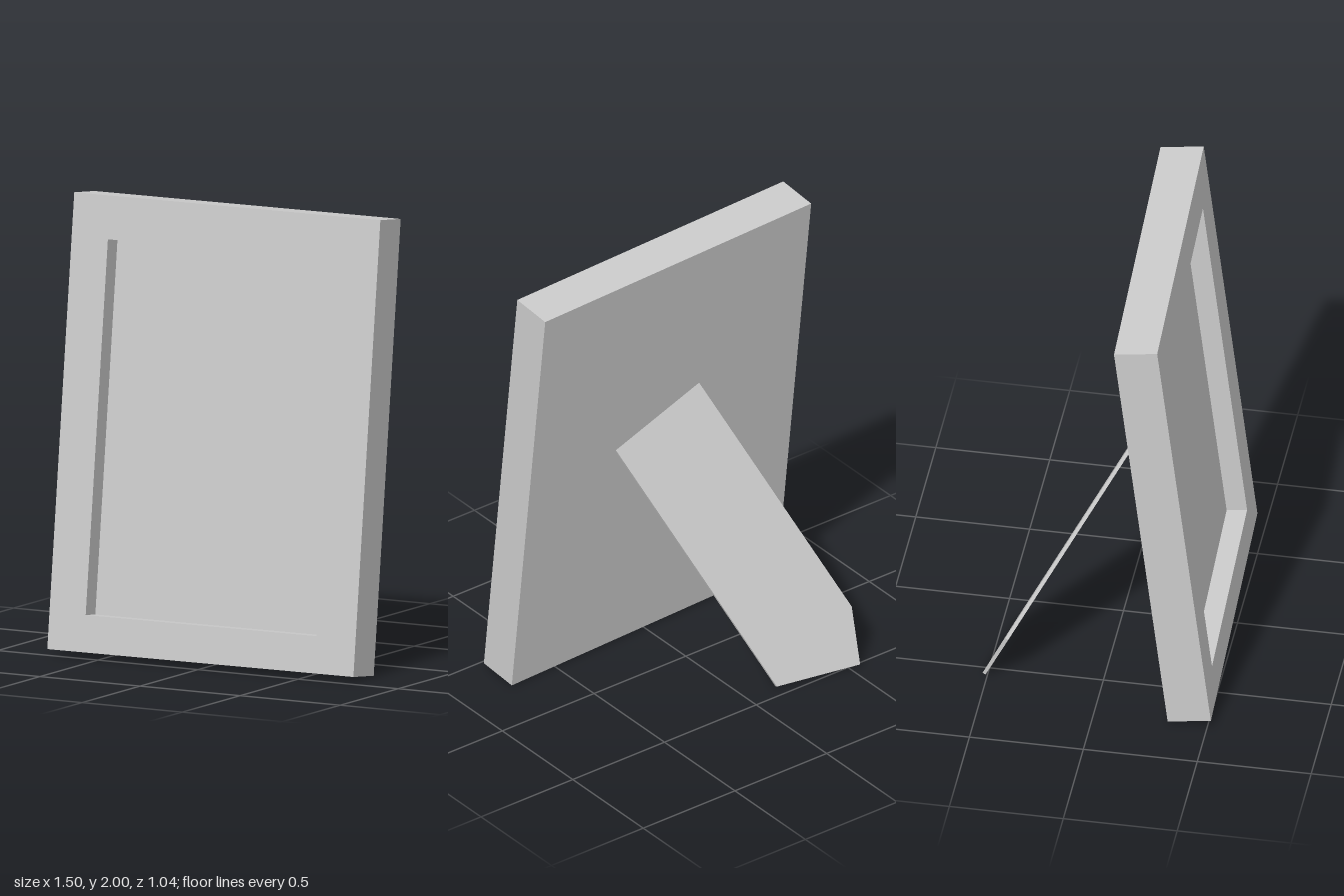
import * as THREE from 'three';

const material = () => new THREE.MeshStandardMaterial({ color: 0xcccccc, flatShading: true });

export function createModel() {
  const model = new THREE.Group();
  model.name = 'pictureFrame';
  const add = (parent, name, geometry) => {
    const mesh = new THREE.Mesh(geometry, material());
    mesh.name = name;
    parent.add(mesh);
    return mesh;
  };

  // Leaning frame: local origin at the centre of its front face
  const W = 1.496, H = 1.982, depth = 0.19, recess = 0.09;
  const frame = new THREE.Group();
  frame.name = 'frame';
  frame.rotation.set(-0.119, 0.04, -0.004, 'YXZ');
  frame.position.set(0.0025, 1.0145, 0.3675);
  model.add(frame);

  // Border with the picture opening
  const rect = (Type, x0, x1, y0, y1) => {
    const p = new Type();
    p.moveTo(x0, y0).lineTo(x1, y0).lineTo(x1, y1).lineTo(x0, y1).closePath();
    return p;
  };
  const outline = rect(THREE.Shape, -W / 2, W / 2, -H / 2, H / 2);
  outline.holes.push(rect(THREE.Path, -0.571, 0.557, -0.829, 0.801));
  const border = new THREE.ExtrudeGeometry(outline, { depth: recess, bevelEnabled: false });
  add(frame, 'border', border.translate(0, 0, -recess));

  // Solid backing behind the opening
  const backing = add(frame, 'backing', new THREE.BoxGeometry(W, H, depth - recess));
  backing.position.z = -(depth + recess) / 2;

  // Easel leg: a thin slanted board with a clipped foot
  const thickness = 0.015;
  const corners = [
    [-0.585, 0.24, -0.416], [-0.55, 0.01, -0.52], [-0.155, 0.01, -0.445],
    [0.271, 1.104, 0.176], [-0.18, 1.279, 0.174],
  ].map((c) => new THREE.Vector3(...c));
  const origin = corners[0];
  const u = corners[4].clone().sub(origin).normalize();
  const n = u.clone().cross(corners[2].clone().sub(origin)).normalize();
  const v = n.clone().cross(u);
  const legShape = new THREE.Shape(corners.map((c) => {
    const d = c.clone().sub(origin);
    return new THREE.Vector2(d.dot(u), d.dot(v));
  }));
  const legGeometry = new THREE.ExtrudeGeometry(legShape, { depth: thickness, bevelEnabled: false });
  legGeometry.translate(0, 0, -thickness);
  legGeometry.applyMatrix4(new THREE.Matrix4().makeBasis(u, v, n).setPosition(origin));
  add(model, 'easelLeg', legGeometry);

  return model;
}
